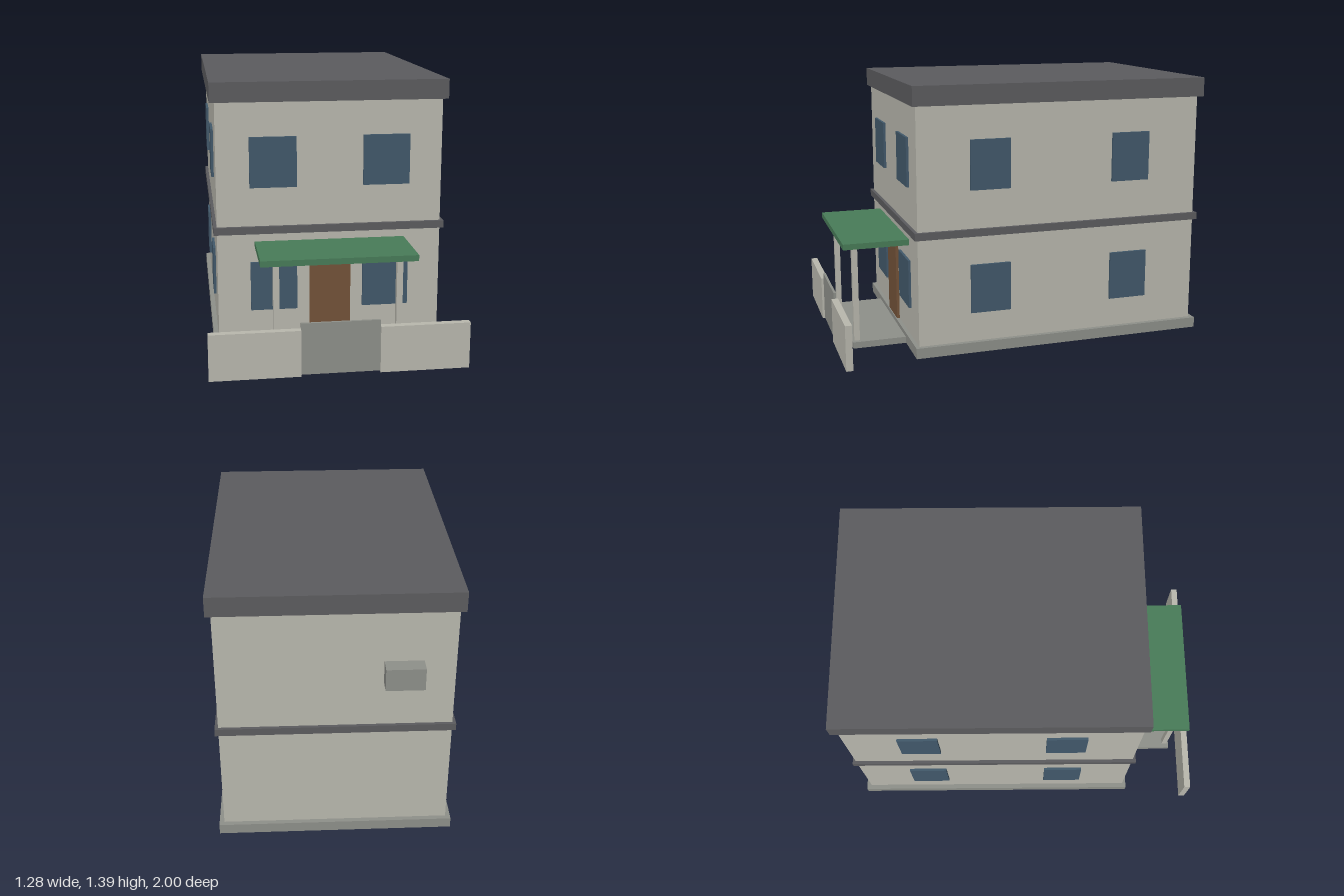
import * as THREE from 'three';

const paint = (name, color) => {
  const m = new THREE.MeshStandardMaterial({ color });
  m.name = name;
  return m;
};

export function createModel() {
  const house = new THREE.Group();
  house.name = 'house';
  const wall = paint('beige plaster', 0xb9b8ae);
  const dark = paint('dark roofing', 0x5c5c5f);
  const glass = paint('blue glass', 0x42596b);
  const green = paint('green canopy', 0x487c58);
  const wood = paint('brown door', 0x735239);
  const concrete = paint('grey concrete', 0x8e908a);
  const magenta = paint('magenta underside', 0xe80ee8);

  // Box given by its limits on each axis
  const block = (name, mat, [x0, x1], [y0, y1], [z0, z1]) => {
    const mesh = new THREE.Mesh(new THREE.BoxGeometry(x1 - x0, y1 - y0, z1 - z0), mat);
    mesh.position.set((x0 + x1) / 2, (y0 + y1) / 2, (z0 + z1) / 2);
    mesh.name = name;
    house.add(mesh);
  };

  // Main body, stacked from the ground up
  block('foundation', magenta, [-0.575, 0.575], [0, 0.03], [-0.92, 0.615]);
  block('plinth', concrete, [-0.6, 0.6], [0.005, 0.06], [-0.945, 0.635]);
  block('walls', wall, [-0.575, 0.575], [0.06, 1.29], [-0.92, 0.615]);
  block('floorBand', dark, [-0.592, 0.592], [0.62, 0.658], [-0.937, 0.632]);
  block('roof', dark, [-0.6, 0.6], [1.29, 1.39], [-0.945, 0.635]);

  // Windows on both floors, front and sides
  for (const y of [[0.215, 0.47], [0.858, 1.115]]) {
    for (const s of [-1, 1]) {
      const span = (a, b) => (s > 0 ? [a, b] : [-b, -a]);
      block('frontWindow', glass, span(0.17, 0.408), y, [0.61, 0.628]);
      block('sideWindow', glass, span(0.57, 0.588), y, [0.128, 0.34]);
      block('sideWindow', glass, span(0.57, 0.588), y, [-0.64, -0.432]);
    }
  }

  // Entrance: door, porch slab, canopy and posts
  block('door', wood, [-0.106, 0.106], [0.06, 0.515], [0.61, 0.63]);
  block('porch', concrete, [-0.345, 0.345], [0.002, 0.036], [0.63, 0.915]);
  block('canopy', green, [-0.385, 0.385], [0.548, 0.578], [0.615, 0.958]);
  for (const x of [-0.305, 0.305]) {
    block('canopyPost', wall, [x - 0.015, x + 0.015], [0.036, 0.548], [0.875, 0.905]);
  }

  // Garden wall with a gate in the middle
  block('gardenWallRight', wall, [-0.642, -0.195], [0, 0.236], [0.965, 1]);
  block('gardenWallLeft', wall, [0.195, 0.642], [0, 0.236], [0.965, 1]);
  block('gate', concrete, [-0.195, 0.195], [0.005, 0.268], [0.975, 0.988]);

  // Air unit on the back wall
  block('airUnit', concrete, [-0.42, -0.23], [0.902, 1.018], [-1, -0.92]);
  return house;
}
